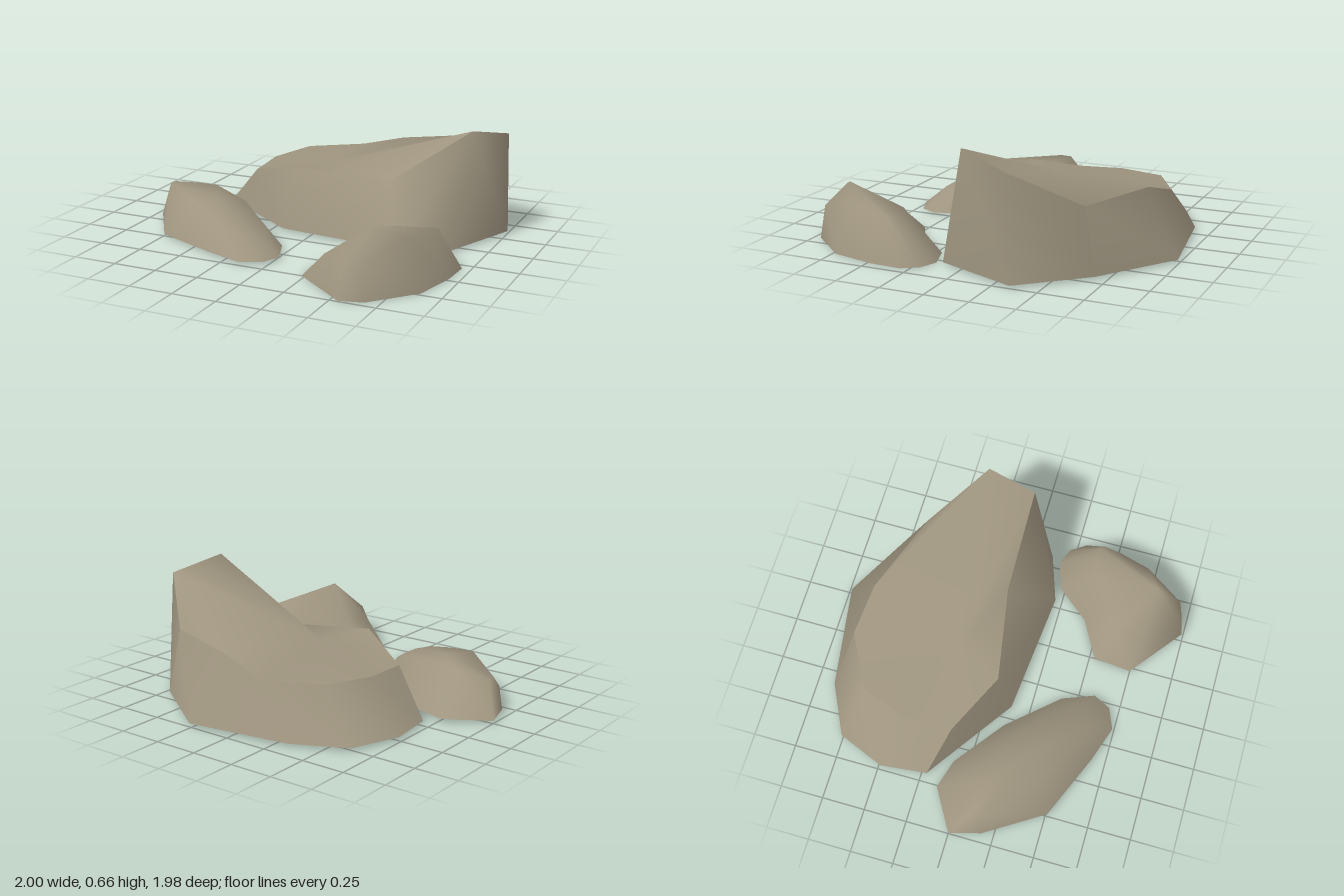
import * as THREE from 'three';
import { toCreasedNormals, mergeGeometries } from 'three/addons/utils/BufferGeometryUtils.js';

// One fully smooth patch from a flat list of triangle corners
function smoothPatch(corners) {
  const geometry = new THREE.BufferGeometry();
  geometry.setAttribute('position', new THREE.Float32BufferAttribute(corners.flat(), 3));
  return toCreasedNormals(geometry, Math.PI);
}

// Open-bottomed rock: a ground outline, a shoulder outline and a crown point.
// Each row is [groundX, groundZ, topX, topY, topZ], clockwise from above.
// ears: rows cut off the crown fan by one triangle
// flipped: side panels split along their other diagonal
// breaks: rows where the sides have a sharp corner (none: all one smooth patch)
function rock(name, groundY, rows, crown, material, { ears = [], flipped = [], breaks = [] } = {}) {
  const n = rows.length;
  const ground = rows.map(([x, z]) => [x, groundY, z]);
  const top = rows.map((r) => r.slice(2));

  // upper surface
  const cap = [];
  ears.forEach((e) => cap.push(top[(e + 1) % n], top[e], top[(e + n - 1) % n]));
  const rim = top.filter((_, i) => !ears.includes(i));
  rim.forEach((p, i) => cap.push(crown, rim[(i + 1) % rim.length], p));

  // sloping sides, in runs between the sharp corners
  const patches = [cap];
  const start = breaks.length ? breaks[0] : 0;
  for (let k = 0; k < n; k++) {
    const i = (start + k) % n;
    const j = (i + 1) % n;
    if (breaks.includes(i)) patches.push([]);
    const side = patches[patches.length - 1];
    if (flipped.includes(i)) side.push(ground[i], top[i], ground[j], top[i], top[j], ground[j]);
    else side.push(ground[i], top[i], top[j], ground[i], top[j], ground[j]);
  }

  const mesh = new THREE.Mesh(mergeGeometries(patches.map(smoothPatch)), material);
  mesh.name = name;
  return mesh;
}

export function createModel() {
  const group = new THREE.Group();
  group.name = 'rocks';
  const stone = new THREE.MeshStandardMaterial({ color: 0x9e947f });
  stone.name = 'stone';
  stone.side = THREE.DoubleSide;

  // large slab rising to a peak, with a hollow in its upper face
  group.add(rock('largeRock', 0.015, [
    [-0.73, -0.49, -0.49, 0.27, -0.40],
    [-0.62, -0.76, -0.39, 0.28, -0.67],
    [-0.33, -0.90, -0.09, 0.29, -0.83],
    [0.27, -0.99, 0.19, 0.37, -0.79],
    [0.70, -0.69, 0.67, 0.37, -0.62],
    [1.00, -0.35, 0.99, 0.59, -0.33],
    [0.81, 0.12, 0.88, 0.66, -0.03],
    [0.54, 0.21, 0.40, 0.32, -0.05],
    [-0.18, 0.14, -0.15, 0.36, 0.05],
    [-0.70, -0.22, -0.48, 0.26, -0.13],
  ], [-0.02, 0.34, -0.22], stone, { ears: [4], flipped: [6], breaks: [4, 9] }));

  // long low rock
  group.add(rock('lowRock', 0.015, [
    [-1.00, 0.00, -0.91, 0.195, 0.10],
    [-0.76, -0.14, -0.72, 0.21, 0.11],
    [-0.59, -0.09, -0.60, 0.22, 0.14],
    [-0.30, 0.13, -0.37, 0.18, 0.23],
    [-0.05, 0.41, -0.16, 0.11, 0.40],
    [0.02, 0.59, -0.08, 0.08, 0.52],
    [-0.03, 0.69, -0.12, 0.10, 0.58],
    [-0.15, 0.74, -0.20, 0.12, 0.62],
    [-0.36, 0.67, -0.40, 0.17, 0.54],
    [-0.74, 0.51, -0.60, 0.215, 0.44],
    [-0.95, 0.18, -0.90, 0.20, 0.16],
  ], [-0.52, 0.215, 0.30], stone));

  // small pointed rock
  group.add(rock('pointedRock', 0, [
    [0.25, 0.53, 0.40, 0.16, 0.61],
    [0.47, 0.41, 0.54, 0.20, 0.53],
    [0.63, 0.22, 0.65, 0.235, 0.44],
    [0.79, 0.17, 0.78, 0.225, 0.38],
    [0.89, 0.21, 0.84, 0.24, 0.40],
    [0.95, 0.30, 0.86, 0.24, 0.42],
    [0.94, 0.48, 0.84, 0.25, 0.52],
    [0.88, 0.73, 0.78, 0.27, 0.70],
    [0.67, 0.96, 0.66, 0.19, 0.93],
    [0.54, 0.99, 0.55, 0.16, 0.96],
    [0.23, 0.75, 0.37, 0.15, 0.77],
  ], [0.64, 0.34, 0.78], stone));

  return group;
}
